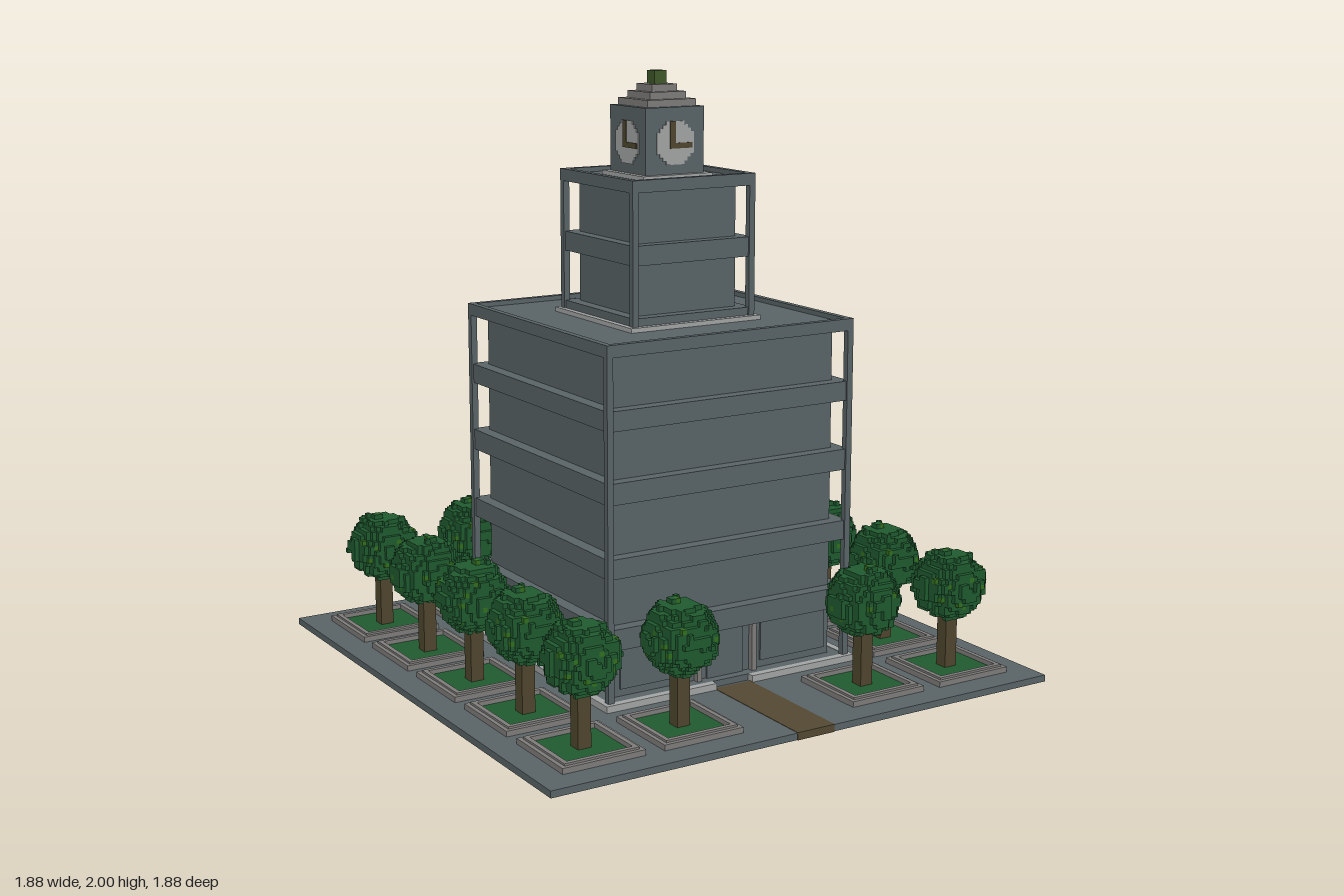
import * as THREE from 'three';
import { mergeGeometries } from 'three/addons/utils/BufferGeometryUtils.js';

const mat = (name, color) => new THREE.MeshStandardMaterial({ name, color });
const M = {
  stone: mat('slate stone', 0x5b6568),
  pale: mat('pale stone', 0xa6a8a8),
  rim: mat('kerb grey', 0x807f7d),
  leaf: mat('leaf green', 0x205c30),
  fleck: mat('bright leaf', 0x34701f),
  trunk: mat('bark brown', 0x51472f),
  path: mat('path brown', 0x544a33),
  finial: mat('olive green', 0x41592a),
};

// Box given by its low and high corners
function boxGeo(x0, x1, y0, y1, z0, z1) {
  return new THREE.BoxGeometry(x1 - x0, y1 - y0, z1 - z0)
    .translate((x0 + x1) / 2, (y0 + y1) / 2, (z0 + z1) / 2);
}
const square = (h, y0, y1) => boxGeo(-h, h, y0, y1, -h, h);

// Square ring standing on y0
function ringGeo(outer, inner, y0, y1) {
  const path = (h, P) => new P([[-h, -h], [h, -h], [h, h], [-h, h]].map(p => new THREE.Vector2(...p)));
  const s = path(outer, THREE.Shape);
  s.holes.push(path(inner, THREE.Path));
  return new THREE.ExtrudeGeometry(s, { depth: y1 - y0, bevelEnabled: false })
    .rotateX(-Math.PI / 2).translate(0, y0, 0);
}

function add(parent, name, geo, material) {
  const m = new THREE.Mesh(geo, material);
  m.name = name;
  parent.add(m);
  return m;
}

// Small repeatable hash in 0..1
function hash(x, y, z) {
  const s = Math.sin(x * 12.9898 + y * 78.233 + z * 37.719) * 43758.5453;
  return s - Math.floor(s);
}

// Blocky ball of leaves: only the exposed cube faces are kept
function crownGeos(u) {
  const filled = (x, y, z) => Math.max(Math.abs(x), Math.abs(y), Math.abs(z)) <= 7
    && Math.hypot(x, y, z) < 6.7 + 1.1 * hash(Math.floor(x / 2), Math.floor(y / 2), Math.floor(z / 2));
  const face = new THREE.PlaneGeometry(u, u).translate(0, 0, u / 2);
  const dirs = [[0, 0, 1], [0, 0, -1], [1, 0, 0], [-1, 0, 0], [0, 1, 0], [0, -1, 0]];
  const faces = dirs.map(([x, y, z]) => y
    ? face.clone().rotateX(-y * Math.PI / 2)
    : face.clone().rotateY(Math.atan2(x, z)));
  const leaf = [], fleck = [];
  for (let x = -7; x <= 7; x++) for (let y = -7; y <= 7; y++) for (let z = -7; z <= 7; z++) {
    if (!filled(x, y, z)) continue;
    dirs.forEach((d, i) => {
      if (filled(x + d[0], y + d[1], z + d[2])) return;
      (hash(z, x, y) > 0.965 ? fleck : leaf).push(faces[i].clone().translate(x * u, y * u, z * u));
    });
  }
  return [mergeGeometries(leaf), mergeGeometries(fleck)];
}

// One storey block: core, corner columns, floor slabs and a parapet roof
function tier(name, half, core, y0, y1, slabs) {
  const g = new THREE.Group();
  g.name = name;
  add(g, 'core', square(core, y0, y1 - 0.03), M.stone);
  const inner = half - 0.022, cols = [];
  for (const sx of [-1, 1]) for (const sz of [-1, 1]) {
    const c = sx * (half + inner) / 2, d = sz * (half + inner) / 2;
    cols.push(boxGeo(c - 0.011, c + 0.011, y0, y1 - 0.04, d - 0.011, d + 0.011));
  }
  add(g, 'cornerColumns', mergeGeometries(cols), M.stone);
  for (const [a, b] of slabs) add(g, 'floorSlab', square(half - 0.006, a, b), M.stone);
  add(g, 'roof', square(inner + 0.005, y1 - 0.039, y1 - 0.016), M.stone);
  add(g, 'parapet', ringGeo(half, inner, y1 - 0.04, y1), M.stone);
  return g;
}

// Stepped round clock dial with two hands, facing +z at the origin
function clockFace() {
  const g = new THREE.Group();
  g.name = 'clockFace';
  const u = 0.0118, rows = [];
  for (let j = -6; j < 6; j++) {
    const w = Math.round(Math.sqrt(37 - (j + 0.5) ** 2)) * u;
    rows.push(boxGeo(-w, w, j * u, (j + 1) * u, 0, 0.004));
  }
  add(g, 'dial', mergeGeometries(rows), M.pale);
  add(g, 'longHand', boxGeo(-0.022, 0, -0.018, 0.071, 0.003, 0.007), M.trunk);
  add(g, 'shortHand', boxGeo(0, 0.064, -0.018, 0, 0.003, 0.007), M.trunk);
  return g;
}

export function createModel() {
  const model = new THREE.Group();
  model.name = 'clockTowerPlaza';

  // Ground and entrance path
  add(model, 'ground', square(0.9375, 0.001, 0.0235), M.stone);
  add(model, 'path', boxGeo(-0.07, 0.07, 0, 0.025, 0.47, 0.939), M.path);

  // Pale plinth around the building, open at the entrance
  const plinth = [
    boxGeo(-0.485, 0.485, 0.02, 0.046, -0.485, -0.46),
    ...[-1, 1].flatMap(s => [
      boxGeo(s * 0.4725 - 0.0125, s * 0.4725 + 0.0125, 0.02, 0.046, -0.46, 0.485),
      boxGeo(s * 0.265 - 0.195, s * 0.265 + 0.195, 0.02, 0.046, 0.46, 0.485),
    ]),
  ];
  add(model, 'plinth', mergeGeometries(plinth), M.pale);
  add(model, 'groundFloor', square(0.459, 0.02, 0.045), M.stone);

  // Main block and upper tower
  model.add(tier('mainBlock', 0.47, 0.42, 0.02, 1.2,
    [[0.215, 0.285], [0.45, 0.515], [0.69, 0.76], [0.925, 0.99]]));
  add(model, 'towerSkirt', ringGeo(0.25, 0.23, 1.18, 1.199), M.pale);
  model.add(tier('upperTower', 0.235, 0.188, 1.18, 1.67, [[1.184, 1.225], [1.395, 1.46]]));

  // Entrance: door, pilasters and wall panels
  add(model, 'door', boxGeo(-0.07, 0.07, 0.025, 0.215, 0.42, 0.427), M.stone);
  for (const s of [-1, 1]) {
    add(model, 'pilaster', boxGeo(s * 0.107 - 0.009, s * 0.107 + 0.009, 0.045, 0.215, 0.42, 0.44), M.rim);
    add(model, 'frontPanel', boxGeo(s * 0.27 - 0.13, s * 0.27 + 0.13, 0.07, 0.215, 0.42, 0.427), M.stone);
  }
  for (let i = 1; i < 4; i++) {
    add(model, 'wallPanel', boxGeo(-0.405, 0.405, 0.07, 0.215, 0.42, 0.427), M.stone)
      .rotation.y = i * Math.PI / 2;
  }

  // Clock room with a dial on each side
  const clock = new THREE.Group();
  clock.name = 'clockRoom';
  model.add(clock);
  add(clock, 'clockSkirt', ringGeo(0.133, 0.105, 1.65, 1.668), M.pale);
  add(clock, 'clockBlock', square(0.112, 1.65, 1.886), M.stone);
  for (let i = 0; i < 4; i++) {
    const side = new THREE.Group();
    side.name = 'clockSide';
    const dial = clockFace();
    dial.position.set(0, 1.77, 0.112);
    side.add(dial);
    side.rotation.y = i * Math.PI / 2;
    clock.add(side);
  }

  // Stepped cap and finial
  [0.093, 0.07, 0.048].forEach((h, i) =>
    add(clock, 'capStep', square(h, 1.886 + i * 0.0235, 1.9095 + i * 0.0235), M.rim));
  add(clock, 'finial', square(0.023, 1.9565, 2), M.finial);

  // Trees in kerbed planters around the edge, leaving the path clear
  const [leafGeo, fleckGeo] = crownGeos(0.0157);
  const trunkGeo = boxGeo(-0.023, 0.023, 0.02, 0.24, -0.023, 0.023);
  const grassGeo = square(0.114, 0, 0.034);
  const kerbGeo = ringGeo(0.143, 0.128, 0.02, 0.042);
  const innerKerbGeo = ringGeo(0.129, 0.113, 0.02, 0.049);
  const spots = [-0.705, -0.353, 0, 0.353, 0.705];
  spots.forEach((x, i) => spots.forEach((z, j) => {
    const edge = i % 4 === 0 || j % 4 === 0;
    if (!edge || (i === 2 && j === 4)) return;
    const tree = new THREE.Group();
    tree.name = 'planterTree';
    tree.position.set(x, 0, z);
    add(tree, 'kerb', kerbGeo, M.rim);
    add(tree, 'innerKerb', innerKerbGeo, M.rim);
    add(tree, 'grass', grassGeo, M.leaf);
    add(tree, 'trunk', trunkGeo, M.trunk);
    const crown = new THREE.Group();
    crown.name = 'crown';
    crown.position.y = 0.32;
    crown.rotation.y = ((i * 3 + j) % 4) * Math.PI / 2;
    add(crown, 'leaves', leafGeo, M.leaf);
    add(crown, 'brightLeaves', fleckGeo, M.fleck);
    tree.add(crown);
    model.add(tree);
  }));
  return model;
}
